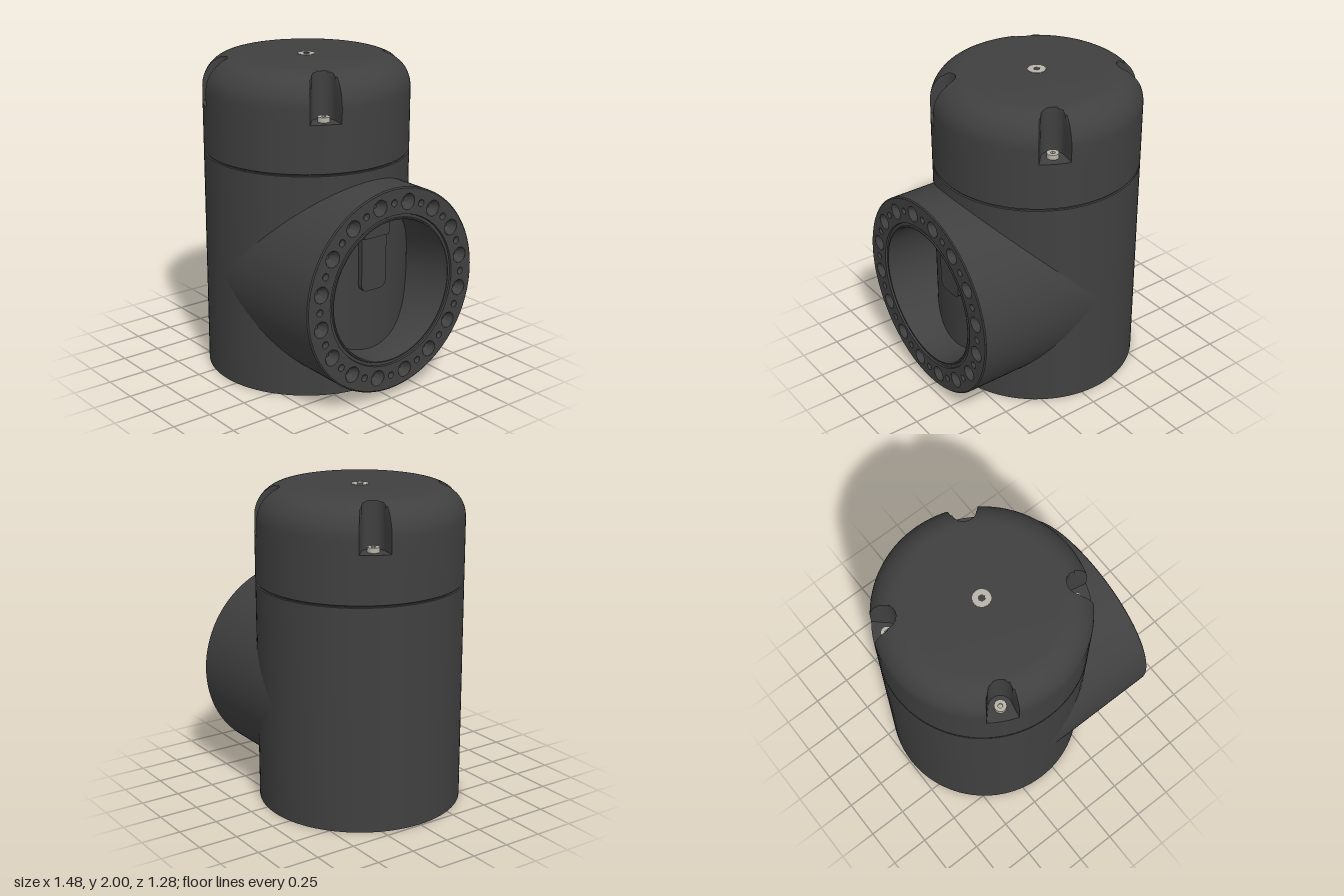
import * as THREE from 'three';
import { toCreasedNormals } from 'three/addons/utils/BufferGeometryUtils.js';

const CX = -0.1, R = 0.64, AXIS_Y = 0.7, FACE_X = 0.74;
const dark = new THREE.MeshStandardMaterial({ color: 0x404040, side: THREE.DoubleSide });
const steel = new THREE.MeshStandardMaterial({ color: 0xb8b4a8, side: THREE.DoubleSide });

function part(name, geo, mat = dark) {
  const mesh = new THREE.Mesh(geo, mat);
  mesh.name = name;
  return mesh;
}

// Surface through a grid of points, point(row, col) -> [x, y, z]
function skin(rows, cols, point) {
  const pos = [], index = [];
  for (let i = 0; i < rows; i++) for (let j = 0; j < cols; j++) pos.push(...point(i, j));
  for (let i = 0; i < rows - 1; i++) for (let j = 0; j < cols - 1; j++) {
    const a = i * cols + j, b = a + cols;
    index.push(a, a + 1, b + 1, a, b + 1, b);
  }
  const geo = new THREE.BufferGeometry();
  geo.setAttribute('position', new THREE.Float32BufferAttribute(pos, 3));
  geo.setIndex(index);
  return toCreasedNormals(geo, 0.6);
}

function lathe(points, segments = 96) {
  const pts = points.map(([r, y]) => new THREE.Vector2(r, y));
  return toCreasedNormals(new THREE.LatheGeometry(pts, segments), 0.6);
}

// Socket screw standing on y = 0
function screw(name, radius, height) {
  const g = new THREE.Group();
  g.name = name;
  const shape = new THREE.Shape().absarc(0, 0, radius, 0, Math.PI * 2);
  const hex = new THREE.Path();
  for (let k = 0; k <= 6; k++) {
    const a = -k * Math.PI / 3, x = Math.cos(a) * radius * 0.42, y = Math.sin(a) * radius * 0.42;
    k ? hex.lineTo(x, y) : hex.moveTo(x, y);
  }
  shape.holes.push(hex);
  const head = new THREE.ExtrudeGeometry(shape, { depth: height, bevelEnabled: false, curveSegments: 20 });
  const bottom = new THREE.CircleGeometry(radius * 0.5, 12);
  bottom.translate(0, 0, height * 0.5);
  for (const m of [part('screwHead', head, steel), part('screwSocket', bottom, steel)]) {
    m.rotation.x = -Math.PI / 2;
    g.add(m);
  }
  return g;
}

// Flat ring facing +z with alternating large and small countersunk holes
function drilledRing(name, inner, outer, mid, big, small) {
  const g = new THREE.Group();
  g.name = name;
  const shape = new THREE.Shape().absarc(0, 0, outer, 0, Math.PI * 2);
  shape.holes.push(new THREE.Path().absarc(0, 0, inner, 0, Math.PI * 2, true));
  for (let k = 0; k < 32; k++) {
    const r = k % 2 ? big : small, a = k * Math.PI / 16 + Math.PI / 2;
    const x = Math.cos(a) * mid, y = Math.sin(a) * mid;
    shape.holes.push(new THREE.Path().absarc(x, y, r, 0, Math.PI * 2, true));
    const pit = part('countersunkHole', lathe([[0, -r], [r * 0.25, -r], [r * 0.8, -r * 0.35], [r, 0]], 24));
    pit.rotation.x = Math.PI / 2;
    pit.position.set(x, y, 0);
    g.add(pit);
  }
  g.add(part('ringFace', new THREE.ShapeGeometry(shape, 48)));
  return g;
}

// Vertical housing, open at the bottom, with an inner drilled flange
function housing() {
  const g = new THREE.Group();
  g.name = 'housing';
  g.add(part('outerShell', lathe([[0.62, 0.5], [0.62, 0.13], [0.626, 0.12], [0.626, 0],
    [R, 0], [R, 1.402], [0.63, 1.404], [0.63, 1.42]])));
  g.add(part('innerTube', lathe([[0, 1.35], [0.44, 1.35], [0.44, 0.5]])));
  const flange = drilledRing('innerFlange', 0.44, 0.62, 0.55, 0.035, 0.018);
  flange.rotation.x = Math.PI / 2;
  flange.position.y = 0.5;
  g.add(flange);
  for (let k = 0; k < 8; k++) {
    const a = (k + 0.25) * Math.PI / 4;
    const tip = part('flangePin', new THREE.CylinderGeometry(0.016, 0.016, 0.02, 12), steel);
    tip.position.set(Math.cos(a) * 0.55, 0.5, Math.sin(a) * 0.55);
    g.add(tip);
  }
  return g;
}

// Rounded lid with four screw pockets cut into its edge
function lid() {
  const g = new THREE.Group();
  g.name = 'lid';
  const mid = 0.555, w = 0.07, first = 1.097, floorY = 1.71;
  const half = Math.asin(w / mid), soft = half + 0.02;

  // Angles packed closely across each pocket
  const cols = [];
  for (let q = 0; q < 4; q++) {
    const base = first + q * Math.PI / 2;
    for (let k = 0; k <= 24; k++) {
      const phi = half * Math.sin((k / 12 - 1) * Math.PI / 2);
      const reach = mid * Math.cos(phi)
        - Math.sqrt(Math.max(0, w * w - (mid * Math.sin(phi)) ** 2));
      cols.push([base + phi, reach]);
    }
    for (let k = 0; k <= 24; k++) {
      cols.push([base + soft + (Math.PI / 2 - 2 * soft) * k / 24, Infinity]);
    }
  }
  cols.push([cols[0][0] + Math.PI * 2, cols[0][1]]);

  // Rows: radius, height, cut by pockets or not
  const rows = [[0.63, 1.41, 0], [R, 1.416, 0], [R, floorY, 0], [R, floorY, 1]];
  for (let k = 0; k <= 14; k++) {
    const a = k / 14 * Math.PI / 2;
    rows.push([0.45 + 0.19 * Math.cos(a), 1.8 + 0.198 * Math.sin(a), 1]);
  }
  rows.push([0, 1.998, 1]);
  g.add(part('lidShell', skin(rows.length, cols.length, (i, j) => {
    const [rad, y, cut] = rows[i], [a, reach] = cols[j];
    const r = cut ? Math.min(rad, reach) : rad;
    return [r * Math.sin(a), y, r * Math.cos(a)];
  })));

  // Pocket screws and centre screw
  for (let q = 0; q < 4; q++) {
    const a = first + q * Math.PI / 2;
    const s = screw('lidScrew', 0.036, 0.03);
    s.position.set(mid * Math.sin(a), floorY, mid * Math.cos(a));
    g.add(s);
  }
  const centre = screw('centreScrew', 0.054, 0.01);
  centre.position.y = 1.99;
  g.add(centre);
  return g;
}

// Side branch, trimmed where it meets the round housing
function branch() {
  const g = new THREE.Group();
  g.name = 'sideBranch';
  const N = 128;
  const sweep = (name, profile) => g.add(part(name, skin(profile.length, N + 1, (i, j) => {
    const a = j / N * Math.PI * 2, [r, px] = profile[i], z = r * Math.sin(a);
    const x = px === null ? Math.sqrt(Math.max(0, R * R - z * z)) + CX - 0.005 : px;
    return [x, AXIS_Y + r * Math.cos(a), z];
  })));
  sweep('branchWall', [[R, null], [R, FACE_X - 0.006], [0.632, FACE_X]]);
  sweep('branchBore', [[0.475, FACE_X], [0.472, FACE_X - 0.012], [0.455, FACE_X - 0.012],
    [0.452, FACE_X - 0.004], [0.445, FACE_X - 0.004], [0.44, FACE_X - 0.012], [0.44, null]]);

  const face = drilledRing('branchFace', 0.475, 0.632, 0.55, 0.05, 0.022);
  face.rotation.y = Math.PI / 2;
  face.position.set(FACE_X, AXIS_Y, 0);
  g.add(face);

  // Round-ended tongue on the back of the bore, with a thicker upper block
  const s = new THREE.Shape();
  s.moveTo(-0.095, 1.0);
  s.lineTo(-0.095, 0.71);
  s.quadraticCurveTo(-0.095, 0.655, -0.04, 0.655);
  s.lineTo(0.04, 0.655);
  s.quadraticCurveTo(0.095, 0.655, 0.095, 0.71);
  s.lineTo(0.095, 1.0);
  const tongue = part('boreTongue', new THREE.ExtrudeGeometry(s, { depth: 0.04, bevelEnabled: false }));
  tongue.rotation.y = Math.PI / 2;
  tongue.position.x = 0.525;
  const block = part('tongueBlock', new THREE.BoxGeometry(0.065, 0.14, 0.19));
  block.position.set(0.5575, 1.07, 0);
  g.add(tongue, block);
  return g;
}

export function createModel() {
  const model = new THREE.Group();
  model.name = 'teeHousing';
  const column = new THREE.Group();
  column.name = 'column';
  column.position.x = CX;
  column.add(housing(), lid());
  model.add(column, branch());
  return model;
}
